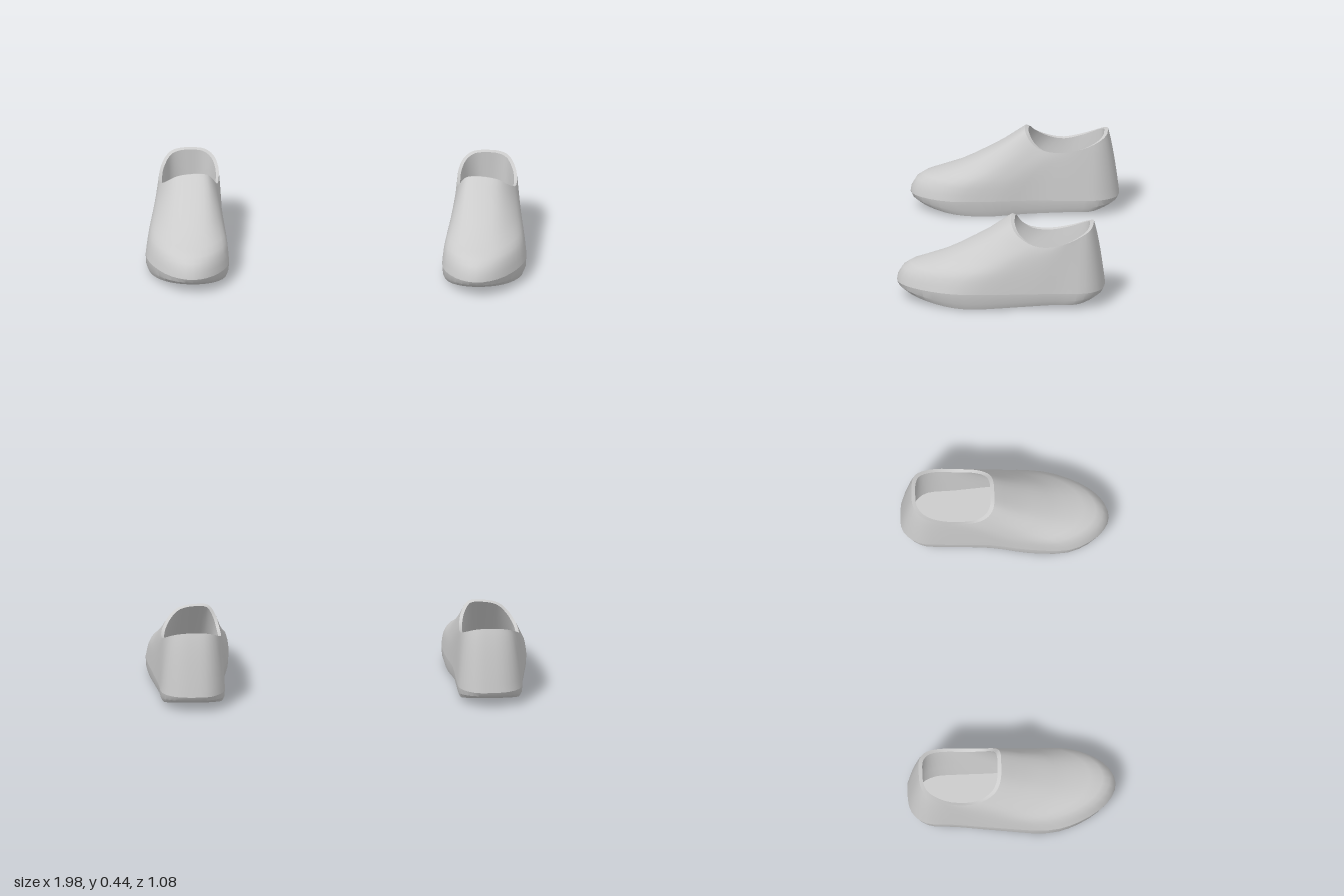
import * as THREE from 'three';
import { toCreasedNormals } from 'three/addons/utils/BufferGeometryUtils.js';

const SEG = 48;

// Widest outline of the left shoe (x, z), from the toe round the outer side
const OUTLINE = [
  [0.735, 0.54], [0.85, 0.49], [0.945, 0.35], [0.99, 0.18],
  [0.97, -0.08], [0.947, -0.3], [0.935, -0.45], [0.87, -0.525],
  [0.77, -0.543], [0.68, -0.53], [0.615, -0.45], [0.603, -0.32],
  [0.595, -0.08], [0.565, 0.12], [0.558, 0.33], [0.63, 0.48],
];
// Collar edge (x, y, z), point for point above the outline
const COLLAR = [
  [0.745, 0.44, -0.055], [0.83, 0.425, -0.06], [0.885, 0.385, -0.09], [0.92, 0.345, -0.16],
  [0.93, 0.33, -0.25], [0.925, 0.355, -0.36], [0.89, 0.395, -0.45], [0.84, 0.413, -0.48],
  [0.77, 0.418, -0.485], [0.70, 0.413, -0.48], [0.65, 0.39, -0.44], [0.625, 0.36, -0.36],
  [0.62, 0.34, -0.25], [0.625, 0.35, -0.15], [0.64, 0.39, -0.09], [0.675, 0.435, -0.06],
];
// Instep line from toe to tongue: share of the run, share of the rise
const INSTEP = [
  [0, 0], [0.01, 0.1], [0.05, 0.215], [0.11, 0.28], [0.22, 0.335], [0.38, 0.42],
  [0.52, 0.525], [0.67, 0.655], [0.8, 0.775], [0.91, 0.9], [1, 1],
];

// Closed smooth ring through control points, sampled evenly per control point
function ring(points) {
  const curve = new THREE.CatmullRomCurve3(
    points.map((p) => new THREE.Vector3(...p)), true, 'catmullrom', 0.5);
  return Array.from({ length: SEG }, (_, i) => curve.getPoint(i / SEG));
}

// Skin a stack of rings; side = -1 mirrors the part
function loft(name, rings, side, crease, material) {
  const pos = [], idx = [];
  for (const r of rings) for (const p of r) pos.push(p.x * side, p.y, p.z);
  for (let k = 0; k < rings.length - 1; k++) {
    for (let i = 0; i < SEG; i++) {
      const j = (i + 1) % SEG;
      const a = k * SEG + i, b = k * SEG + j, c = b + SEG, d = a + SEG;
      if (side > 0) idx.push(a, b, c, a, c, d);
      else idx.push(a, c, b, a, d, c);
    }
  }
  const geo = new THREE.BufferGeometry();
  geo.setAttribute('position', new THREE.Float32BufferAttribute(pos, 3));
  geo.setIndex(idx);
  const mesh = new THREE.Mesh(toCreasedNormals(geo, crease), material);
  mesh.name = name;
  return mesh;
}

// Height of the tread: toe spring in front, slight lift at the heel
function treadY(z) {
  if (z > 0.12) return 0.045 * ((z - 0.12) / 0.38) ** 2;
  return 0.02 * Math.min(1, (0.12 - z) / 0.4) + 0.025 * Math.max(0, (-z - 0.4) / 0.1);
}

function makeShoe(name, side, material) {
  const shoe = new THREE.Group();
  shoe.name = name;
  const base = ring(OUTLINE.map(([x, z]) => [x, 0.085, z]));
  const collar = ring(COLLAR);
  const mid = 0.765;

  // Upper: blends the instep line in front into gently bowed walls behind
  const upper = INSTEP.map(([run, rise], k) => base.map((p, i) => {
    const front = Math.max(0, Math.cos((i / SEG) * Math.PI * 2));
    const t = k / (INSTEP.length - 1);
    const f = THREE.MathUtils.lerp(t, run, front);
    const g = THREE.MathUtils.lerp(t + 0.45 * t * (1 - t), rise, front);
    const q = p.clone().lerp(collar[i], f);
    q.y = THREE.MathUtils.lerp(p.y, collar[i].y, g);
    return q;
  }));
  shoe.add(loft('upper', upper, side, 0.9, material));

  // Sole: tread from its middle outwards, then a bevelled edge
  const tread = (s) => base.map((p) => {
    const z = p.z * s;
    return new THREE.Vector3(mid + (p.x - mid) * s, treadY(z), z);
  });
  const edge = base.map((p) => {
    const z = p.z * 0.98;
    return new THREE.Vector3(mid + (p.x - mid) * 0.985, treadY(z) * 0.6 + 0.033, z);
  });
  const sole = [...[0, 0.3, 0.6, 0.8, 0.93].map(tread), edge, base];
  shoe.add(loft('sole', sole, side, 0.5, material));

  // Lining: collar thickness, inner walls and footbed
  const lip = collar.map((p) => new THREE.Vector3(
    0.775 + (p.x - 0.775) * 0.9, p.y - 0.006, -0.27 + (p.z + 0.27) * 0.91));
  const bed = base.map((p) => new THREE.Vector3(
    mid + (p.x - mid) * (p.x > mid ? 0.72 : 0.55), 0.1, p.z * (p.z > 0 ? 0.55 : 0.88)));
  const walls = [0.33, 0.67, 1].map((t) => lip.map((p, i) => p.clone().lerp(bed[i], t)));
  const bedMiddle = base.map(() => new THREE.Vector3(mid, 0.1, -0.12));
  shoe.add(loft('lining', [collar, lip, ...walls, bedMiddle], side, 0.6, material));
  return shoe;
}

export function createModel() {
  const material = new THREE.MeshStandardMaterial({ color: 0xcccccc, side: THREE.DoubleSide });
  const model = new THREE.Group();
  model.name = 'pairOfShoes';
  model.add(makeShoe('leftShoe', 1, material), makeShoe('rightShoe', -1, material));
  return model;
}
